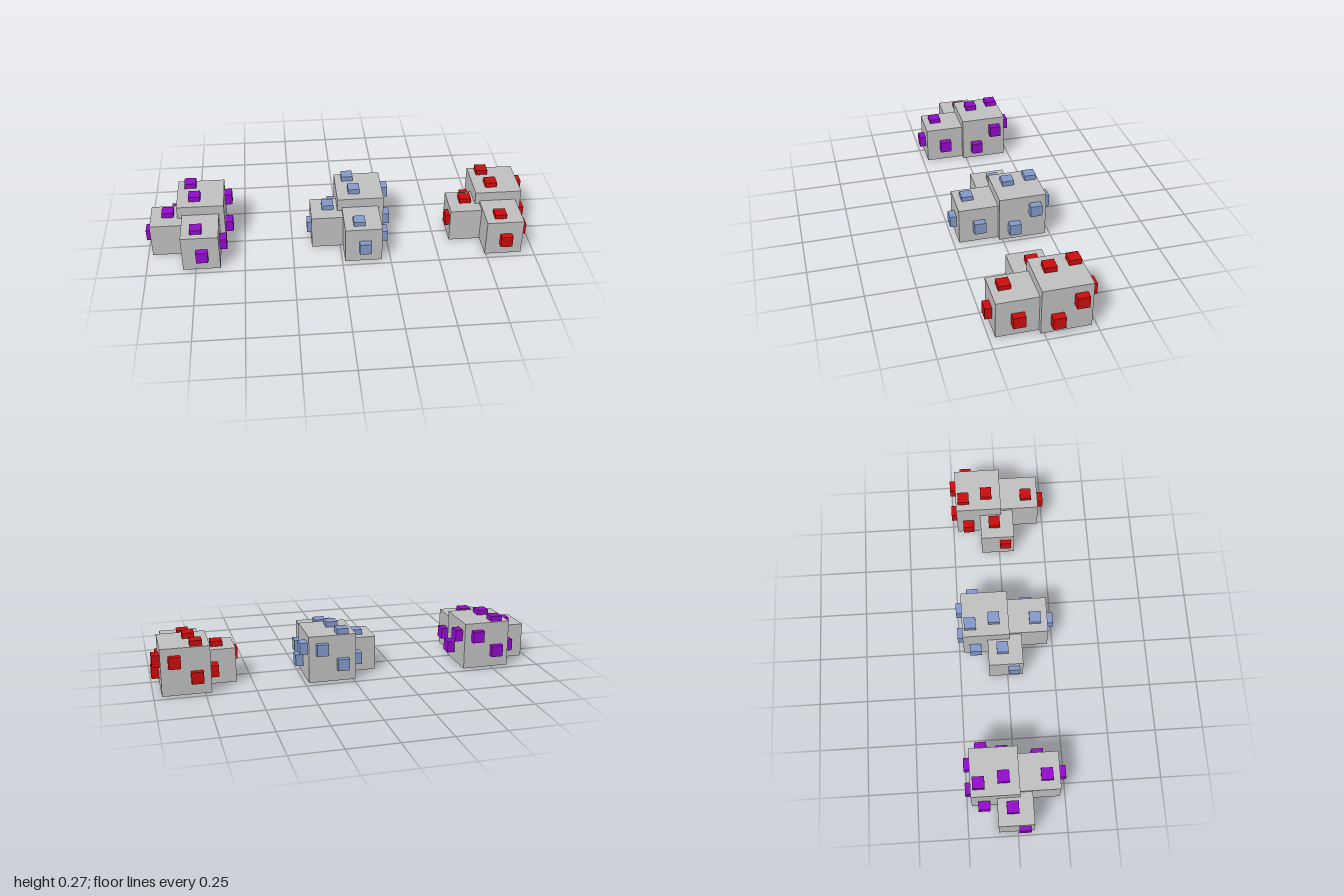
import * as THREE from 'three';

const mat = (name, color) => {
  const m = new THREE.MeshStandardMaterial({ color });
  m.name = name;
  return m;
};

// Box from its min and max corners
function boxBetween(name, a, b, material) {
  const size = b.map((v, i) => v - a[i]);
  const mesh = new THREE.Mesh(new THREE.BoxGeometry(...size), material);
  mesh.position.set(...a.map((v, i) => v + size[i] / 2));
  mesh.name = name;
  return mesh;
}

// Rock blocks of one cluster: [name, min, max]
const ROCKS = [
  ['largeRock', [-0.838, 0.005, -0.225], [-0.596, 0.247, 0.018]],
  ['frontRock', [-0.814, 0.004, -0.02], [-0.624, 0.197, 0.222]],
  ['sideRock', [-0.977, 0, -0.097], [-0.799, 0.18, 0.081]],
];

// Ore crystals: [axis they point along, direction, tip position, centre on the other two axes in xyz order]
const CRYSTALS = [
  // on top
  [1, 1, 0.274, -0.772, -0.184],
  [1, 1, 0.274, -0.747, -0.06],
  [1, 1, 0.22, -0.738, 0.157],
  [1, 1, 0.207, -0.888, -0.022],
  // front
  [2, 1, 0.256, -0.712, 0.097],
  // left flank
  [0, 1, -0.588, 0.097, 0.119],
  [0, 1, -0.557, 0.08, -0.058],
  [0, 1, -0.557, 0.177, -0.165],
  // right flank
  [0, -1, -1, 0.115, 0.034],
  [0, -1, -0.88, 0.1, -0.162],
  // back
  [2, -1, -0.254, -0.663, 0.18],
  [2, -1, -0.254, -0.77, 0.095],
];

function createCluster(name, rock, ore) {
  const group = new THREE.Group();
  group.name = name;
  for (const [part, a, b] of ROCKS) group.add(boxBetween(part, a, b, rock));
  for (const [axis, dir, tip, u, v] of CRYSTALS) {
    const half = 0.03, depth = 0.06; // each crystal is partly sunk into its rock
    const centre = [u, v];
    centre.splice(axis, 0, tip - dir * depth / 2);
    group.add(boxBetween('crystal', centre.map(c => c - half), centre.map(c => c + half), ore));
  }
  return group;
}

export function createModel() {
  const model = new THREE.Group();
  model.name = 'oreClusters';
  const rock = mat('rockGrey', 0xc0c0c0);
  const clusters = [
    ['purpleOre', mat('orePurple', 0x930acb), 0],
    ['blueOre', mat('oreBlue', 0x839acb), 0.828],
    ['redOre', mat('oreRed', 0xcc0c0c), 1.556],
  ];
  for (const [name, ore, x] of clusters) {
    const cluster = createCluster(name, rock, ore);
    cluster.position.x = x;
    model.add(cluster);
  }
  return model;
}
